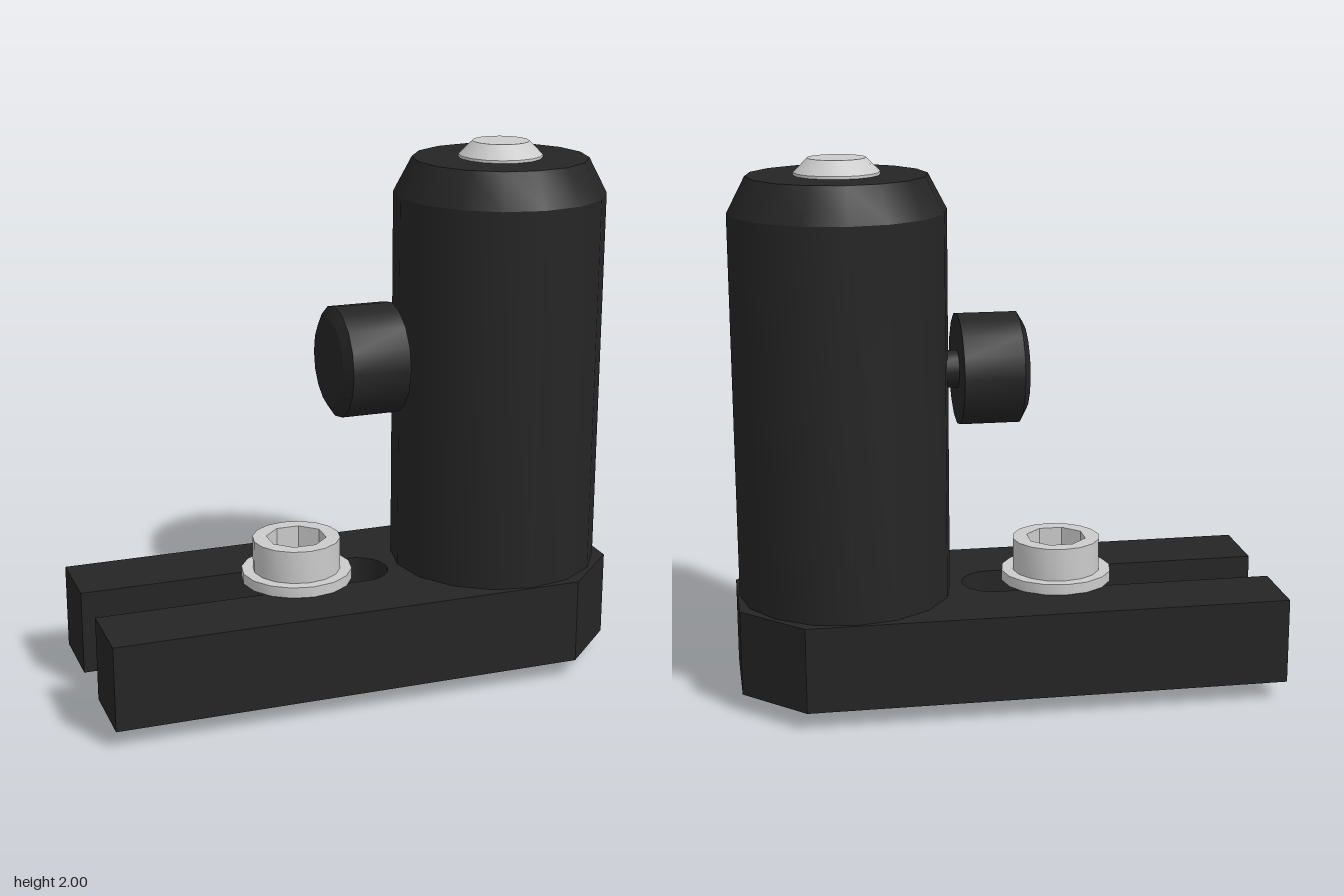
import * as THREE from 'three';
import { toCreasedNormals } from 'three/addons/utils/BufferGeometryUtils.js';

const SIDES = 16;
const CREASE = 0.45;

export function createModel() {
  const model = new THREE.Group();
  model.name = 'postHolder';
  const black = new THREE.MeshStandardMaterial({ color: 0x252525 });
  const steel = new THREE.MeshStandardMaterial({ color: 0xcccccc });

  function add(name, geometry, material, x, y, parent = model) {
    const mesh = new THREE.Mesh(toCreasedNormals(geometry, CREASE), material);
    mesh.name = name;
    mesh.position.set(x, y, 0);
    parent.add(mesh);
    return mesh;
  }

  // Turned part: [radius, height] profile from bottom to top
  const turned = (profile, sides = SIDES) =>
    new THREE.LatheGeometry(profile.map(([r, y]) => new THREE.Vector2(r, y)), sides);

  // Plan outline raised to a height
  const raised = (shape, depth) =>
    new THREE.ExtrudeGeometry(shape, { depth, bevelEnabled: false, curveSegments: 12 }).rotateX(-Math.PI / 2);

  // Forked base with chamfered end and open, round-ended slot
  const outline = new THREE.Shape();
  outline.moveTo(-1, -0.4);
  outline.lineTo(0.78, -0.4);
  outline.lineTo(1, -0.18);
  outline.lineTo(1, 0.18);
  outline.lineTo(0.78, 0.4);
  outline.lineTo(-1, 0.4);
  outline.lineTo(-1, 0.12);
  outline.lineTo(0.04, 0.12);
  outline.absarc(0.04, 0, 0.12, Math.PI / 2, -Math.PI / 2, true);
  outline.lineTo(-1, -0.12);
  outline.closePath();
  add('base', raised(outline, 0.32), black, 0, 0.07);

  // Upright post with chamfered top, and the steel pin in it
  add('post', turned([[0, 0.38], [0.393, 0.38], [0.393, 1.81], [0.325, 1.94], [0, 1.94]]), black, 0.6, 0);
  add('pin', turned([[0, 1.93], [0.155, 1.93], [0.155, 1.95], [0.105, 2], [0, 2]]), steel, 0.6, 0);

  // Thumbscrew pointing out of the post along -x
  const knob = add('thumbscrew', turned([
    [0, -0.3], [0.07, -0.3], [0.07, -0.175], [0.207, -0.175],
    [0.207, 0.045], [0.165, 0.07], [0, 0.07],
  ]), black, 0, 1.22);
  knob.rotation.z = Math.PI / 2;

  // Clamping screw: shaft, washer, socket head and socket floor
  const screw = new THREE.Group();
  screw.name = 'clampScrew';
  screw.position.x = -0.2;
  model.add(screw);
  add('shaft', turned([[0, 0], [0.068, 0], [0.068, 0.4], [0, 0.4]]), steel, 0, 0, screw);
  add('washer', turned([[0, 0.392], [0.208, 0.392], [0.208, 0.432], [0, 0.432]]), steel, 0, 0, screw);

  const ring = (Kind, radius, sides, turn) => new Kind(Array.from({ length: sides }, (_, i) => {
    const a = (i / sides) * Math.PI * 2 + turn;
    return new THREE.Vector2(radius * Math.cos(a), radius * Math.sin(a));
  }));
  const head = ring(THREE.Shape, 0.165, SIDES, 0);
  head.holes.push(ring(THREE.Path, 0.113, 8, Math.PI / 8));
  add('head', raised(head, 0.123), steel, 0, 0.432, screw);
  const floor = add('socketFloor', turned([[0.113, 0.03], [0, 0]], 8), steel, 0, 0.435, screw);
  floor.rotation.y = Math.PI / 8;
  floor.material = steel.clone();
  floor.material.side = THREE.DoubleSide;

  return model;
}
